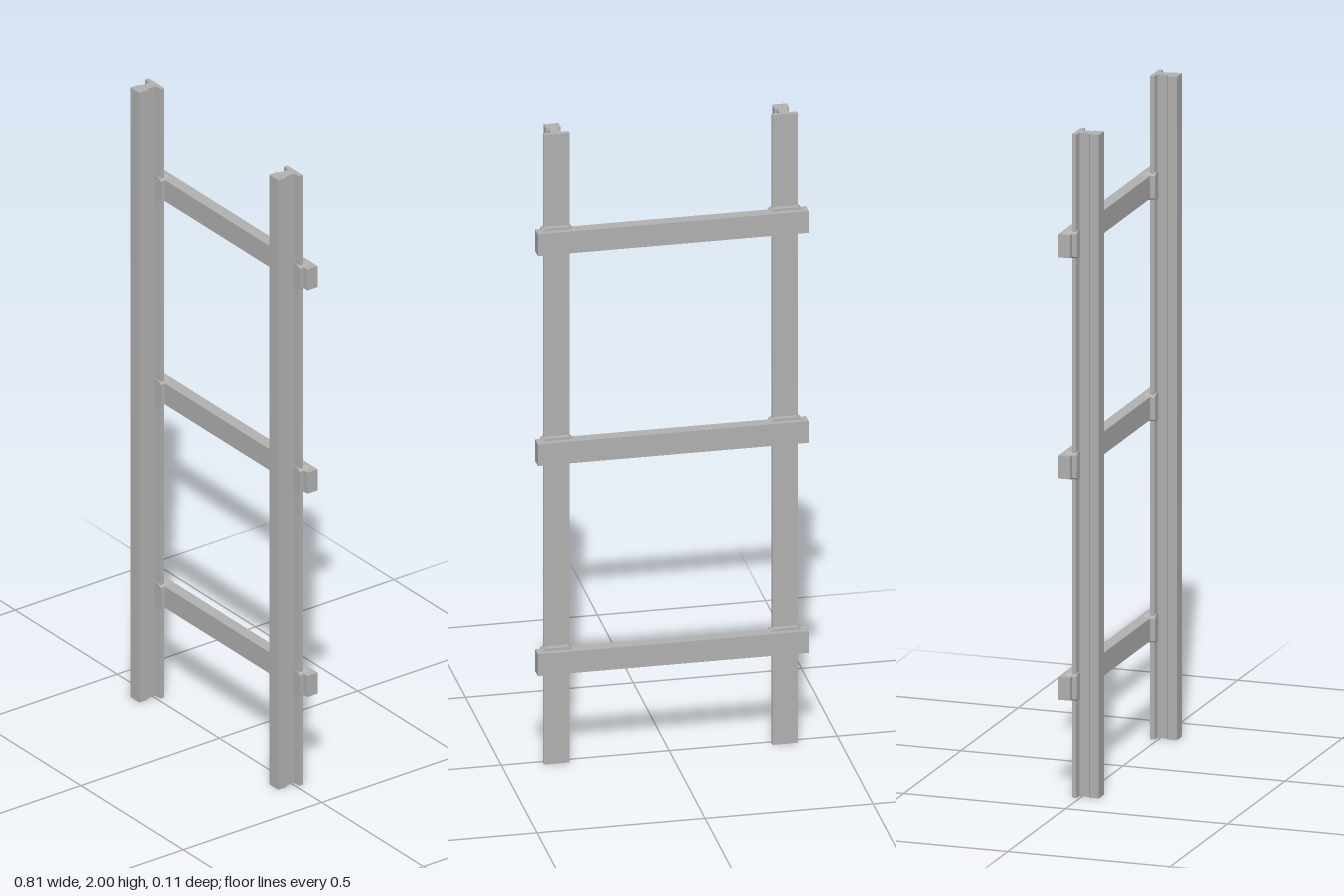
import * as THREE from 'three';

const RAIL_X = 0.34;
const TIE_Y = [0.333, 1.0, 1.667];

// Closed shape from the right half of a symmetric outline
function mirroredShape(half) {
  const left = half.map(([x, y]) => [-x, y]).reverse();
  return new THREE.Shape([...half, ...left].map(([x, y]) => new THREE.Vector2(x, y)));
}

export function createModel() {
  const model = new THREE.Group();
  model.name = 'trackSection';
  const steel = new THREE.MeshStandardMaterial({ color: 0xb0b0b0 });
  steel.name = 'grey steel';

  const add = (geometry, name, x, y, z) => {
    const mesh = new THREE.Mesh(geometry, steel);
    mesh.name = name;
    mesh.position.set(x, y, z);
    model.add(mesh);
  };

  // Rail profile: foot, web and head, with the head towards +z
  const railShape = mirroredShape([
    [0.022, -0.054], [0.022, -0.025], [0.015, -0.021],
    [0.015, 0.008], [0.038, 0.01], [0.038, 0.023],
  ]);
  const railGeometry = new THREE.ExtrudeGeometry(railShape, { depth: 2, bevelEnabled: false });
  railGeometry.rotateX(-Math.PI / 2);

  // Fastening plate with clipped corners
  const plateShape = mirroredShape([
    [0.034, -0.042], [0.0455, -0.034], [0.0455, 0.034], [0.034, 0.042],
  ]);
  const plateGeometry = new THREE.ExtrudeGeometry(plateShape, { depth: 0.034, bevelEnabled: false });

  const tieGeometry = new THREE.BoxGeometry(0.806, 0.069, 0.037);

  for (const side of [-1, 1]) {
    add(railGeometry, side > 0 ? 'leftRail' : 'rightRail', side * RAIL_X, 0, 0);
  }
  TIE_Y.forEach((y, i) => {
    add(tieGeometry, `crossTie${i + 1}`, 0, y, -0.0385);
    for (const side of [-1, 1]) {
      add(plateGeometry, `${side > 0 ? 'left' : 'right'}Plate${i + 1}`, side * RAIL_X, y, -0.04);
    }
  });

  return model;
}
